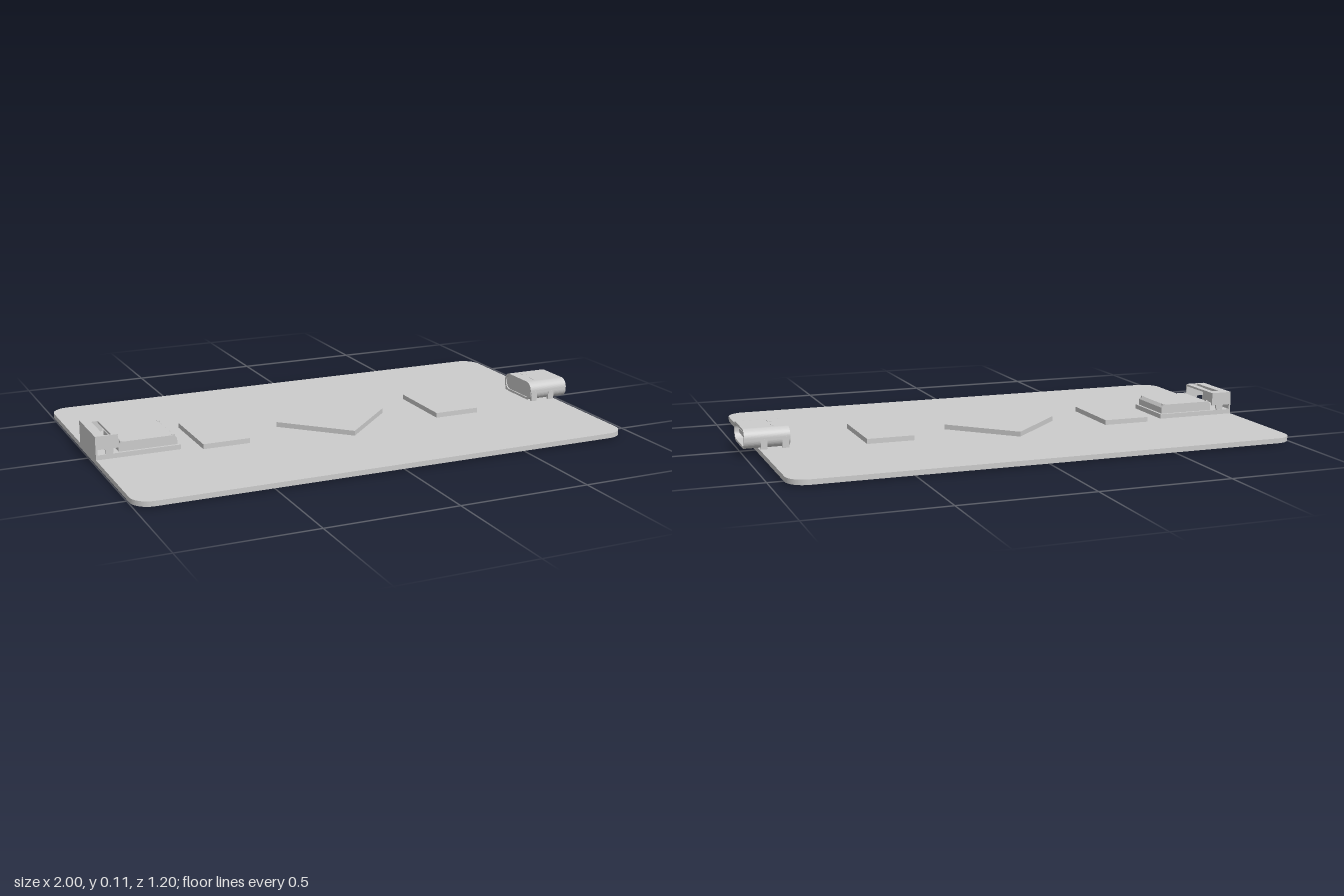
import * as THREE from 'three';

const material = new THREE.MeshStandardMaterial({ color: 0xcccccc, side: THREE.DoubleSide });
const flat = new THREE.MeshStandardMaterial({ color: 0xcccccc, flatShading: true });

function add(parent, name, geometry, mat = material) {
  const mesh = new THREE.Mesh(geometry, mat);
  mesh.name = name;
  parent.add(mesh);
  return mesh;
}

// Box given by its lower and upper limits on each axis
function box(parent, name, x0, x1, y0, y1, z0, z1) {
  const mesh = add(parent, name, new THREE.BoxGeometry(x1 - x0, y1 - y0, z1 - z0), flat);
  mesh.position.set((x0 + x1) / 2, (y0 + y1) / 2, (z0 + z1) / 2);
  return mesh;
}

// Rounded rectangle centred on (cx, cy)
function roundRect(w, h, r, cx = 0, cy = 0, Type = THREE.Shape) {
  const s = new Type(), a = w / 2 - r, b = h / 2 - r;
  s.absarc(cx + a, cy + b, r, 0, Math.PI / 2);
  s.absarc(cx - a, cy + b, r, Math.PI / 2, Math.PI);
  s.absarc(cx - a, cy - b, r, Math.PI, Math.PI * 1.5);
  s.absarc(cx + a, cy - b, r, Math.PI * 1.5, Math.PI * 2);
  s.closePath();
  return s;
}

const extrude = (shape, depth) =>
  new THREE.ExtrudeGeometry(shape, { depth, bevelEnabled: false, curveSegments: 10 });

// Plate lying flat, extruded upward from y
function plate(parent, name, shape, y, thickness, x = 0, z = 0) {
  const mesh = add(parent, name, extrude(shape, thickness));
  mesh.rotation.x = -Math.PI / 2;
  mesh.position.set(x, y, z);
  return mesh;
}

const TOP = 0.024, MID = -0.003;

// Metal plug socket opening toward +x
function createPort() {
  const port = new THREE.Group();
  port.name = 'port';
  const shell = roundRect(0.205, 0.075, 0.034);
  shell.holes.push(roundRect(0.187, 0.057, 0.026, 0, 0, THREE.Path));
  const along = (name, shape, x, depth) => {
    const mesh = add(port, name, extrude(shape, depth));
    mesh.rotation.y = Math.PI / 2;
    mesh.position.set(x, 0.0625, MID);
  };
  along('portShell', shell, 0.83, 0.17);
  along('portBack', roundRect(0.188, 0.058, 0.026), 0.835, 0.03);
  along('portTongue', roundRect(0.155, 0.016, 0.007), 0.86, 0.125);
  for (const side of [-1, 1]) {
    const z = MID + side * 0.098;
    // Mounting legs through and beside the board
    box(port, 'portLeg', 0.835, 0.86, 0, 0.065, z - 0.005, z + 0.005);
    box(port, 'portFrontLeg', 0.915, 0.94, 0.003, 0.06, z - 0.005, z + 0.005);
    // Pressed spring marks on the top
    box(port, 'springMark', 0.872, 0.888, 0.098, 0.101, MID + side * 0.036 - 0.013, MID + side * 0.036 + 0.013);
  }
  return port;
}

// Flat socket with a raised latch at the -x edge
function createSocket() {
  const socket = new THREE.Group();
  socket.name = 'socket';
  box(socket, 'socketBase', -1, -0.68, TOP, 0.042, -0.117, 0.11);

  // Body with chamfered shoulders
  const profile = new THREE.Shape();
  profile.moveTo(-0.912, 0.04);
  profile.lineTo(-0.69, 0.04);
  profile.lineTo(-0.69, 0.066);
  profile.lineTo(-0.702, 0.078);
  profile.lineTo(-0.9, 0.078);
  profile.lineTo(-0.912, 0.066);
  profile.closePath();
  add(socket, 'socketBody', extrude(profile, 0.205), flat).position.z = -0.106;
  for (const x of [-0.9, -0.702]) for (const z of [-0.095, 0.089])
    box(socket, 'cornerPin', x - 0.005, x + 0.005, 0.07, 0.08, z - 0.005, z + 0.005);

  // Latch: slotted roof, outer wall and end tabs on narrow legs
  const roof = roundRect(0.085, 0.227, 0.004);
  roof.holes.push(roundRect(0.026, 0.18, 0.006, 0.006, -0.016, THREE.Path));
  plate(socket, 'latchRoof', roof, 0.105, 0.008, -0.9575, MID);
  box(socket, 'latchWall', -1, -0.993, 0.042, 0.108, -0.116, 0.11);
  const tab = new THREE.Shape();
  [[-0.995, 0.108], [-0.995, 0.062], [-0.965, 0.062], [-0.962, 0.042], [-0.936, 0.042],
    [-0.933, 0.062], [-0.915, 0.062], [-0.915, 0.108]]
    .forEach(([x, y], i) => (i ? tab.lineTo(x, y) : tab.moveTo(x, y)));
  tab.closePath();
  for (const z of [-0.116, 0.102]) add(socket, 'latchEnd', extrude(tab, 0.008), flat).position.z = z;
  return socket;
}

export function createModel() {
  const model = new THREE.Group();
  model.name = 'circuitBoard';

  plate(model, 'board', roundRect(1.945, 1.2, 0.07), 0.005, TOP - 0.005, -0.0275, 0);

  // Chips
  for (const x of [-0.513, 0.46]) box(model, 'memoryChip', x - 0.092, x + 0.092, TOP, 0.043, -0.15, 0.145);
  const side = 0.228 * Math.SQRT2;
  const processor = box(model, 'processor', -side / 2, side / 2, TOP, 0.043, -side / 2, side / 2);
  processor.rotation.y = Math.PI / 4;
  processor.position.x = -0.027;
  processor.position.z = MID;

  model.add(createPort(), createSocket());
  return model;
}
